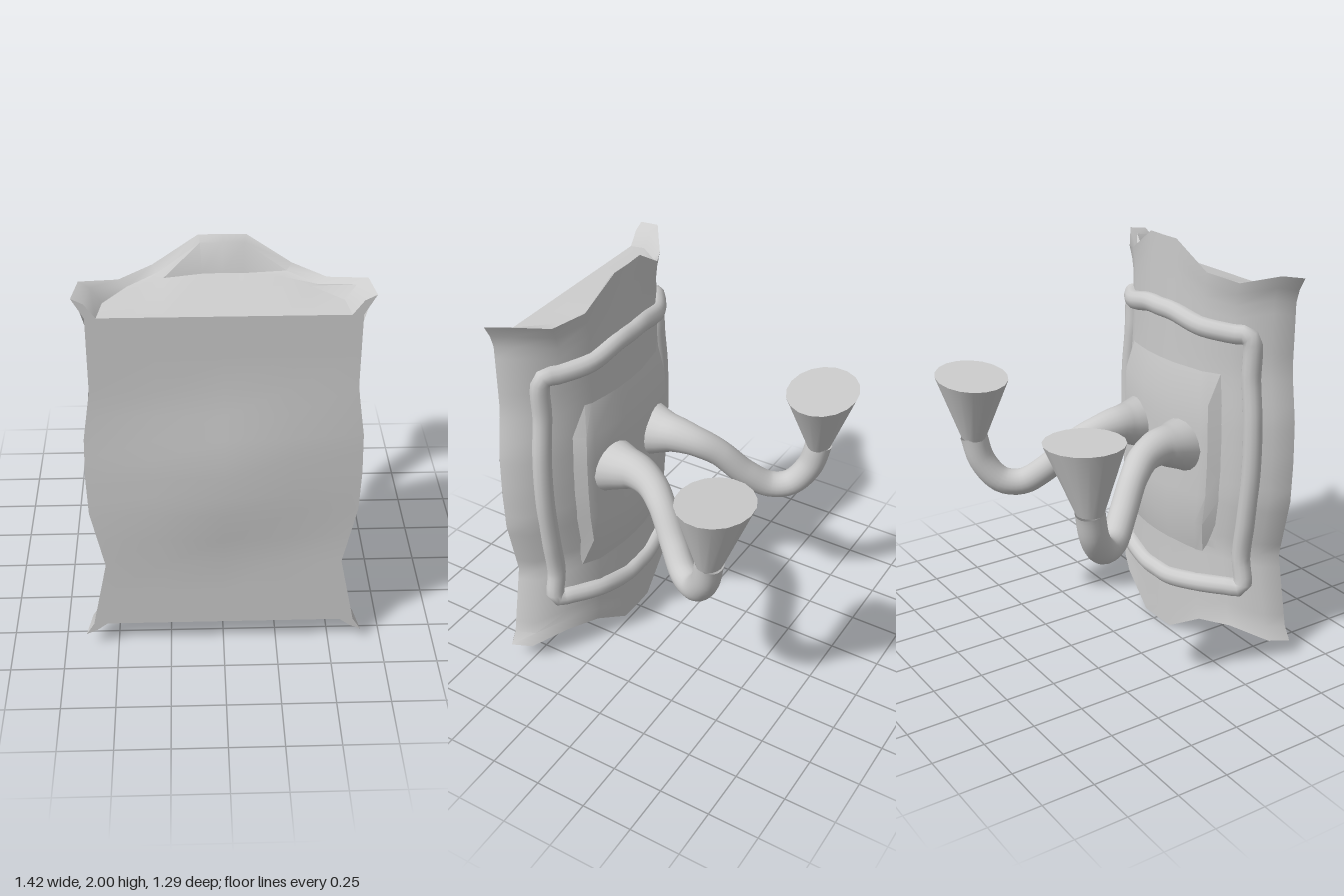
import * as THREE from 'three';
import { toCreasedNormals } from 'three/addons/utils/BufferGeometryUtils.js';

const V = (x, y, z) => new THREE.Vector3(x, y, z);
const material = new THREE.MeshStandardMaterial({ color: 0xcccccc, side: THREE.DoubleSide });

// Piecewise linear lookup in a list of [key, value] pairs
function lookup(keys, t) {
  if (t <= keys[0][0]) return keys[0][1];
  for (let i = 1; i < keys.length; i++) {
    const [a, va] = keys[i - 1], [b, vb] = keys[i];
    if (t <= b) return va + (vb - va) * (t - a) / (b - a);
  }
  return keys[keys.length - 1][1];
}

// Half of the curved plate, from centre to edge: x, z, bottom y, top y
const COLUMNS = [
  [0, 0.272, 0.005, 2.0], [0.1, 0.275, 0.005, 2.0], [0.29, 0.305, 0.13, 1.88],
  [0.43, 0.38, 0.14, 1.85], [0.585, 0.49, 0.1, 1.9], [0.61, 0.6, 0.08, 1.88],
];
const column = (u, k) => lookup(COLUMNS.map((c, i) => [i, c[k]]), Math.abs(u));

// Wavy half width of the side edge over the height
const WIDTHS = [[0.08, 0.65], [0.14, 0.612], [0.5, 0.54], [0.8, 0.6], [1, 0.606],
  [1.2, 0.6], [1.44, 0.565], [1.79, 0.565], [1.88, 0.615]];

// Point on the curved plate at column u and height fraction v
function plate(u, v, inset = 1) {
  const w = lookup(WIDTHS, 0.08 + 1.8 * v) / 0.61;
  const y = column(u, 2) + (column(u, 3) - column(u, 2)) * v;
  const z = column(u, 1);
  return V(Math.sign(u) * column(u, 0) * w * inset, y, 0.6 - (0.6 - z) * inset);
}

// Point at column u and height y, lifted outward from the plate
function onPlate(u, y, lift) {
  const p = plate(u, (y - column(u, 2)) / (column(u, 3) - column(u, 2)));
  const out = V(p.x, 0, p.z - 0.7).normalize();
  return p.addScaledVector(out, lift);
}

// Surface through rows of points
function surface(name, rows, crease = 0.6) {
  const n = rows[0].length, index = [];
  for (let j = 0; j < rows.length - 1; j++)
    for (let i = 0; i < n - 1; i++) {
      const a = j * n + i;
      index.push(a, a + 1, a + n + 1, a, a + n + 1, a + n);
    }
  const g = new THREE.BufferGeometry().setFromPoints(rows.flat());
  g.setIndex(index);
  return mesh(name, toCreasedNormals(g, crease));
}

function mesh(name, geometry) {
  const m = new THREE.Mesh(geometry, material);
  m.name = name;
  return m;
}

const US = Array.from({ length: 11 }, (_, i) => i - 5);

// Lip, inner wall and closing cap at the top or bottom of the plate
function endCap(name, top) {
  const v = top ? 1 : 0, s = top ? 1 : -1;
  const us = top ? [...US].reverse() : US;
  const frontY = top ? 1.79 : 0.145;
  const lip = u => plate(u, v);
  const inner = u => plate(u, v, 0.92).add(V(0, -0.025 * s, 0));
  const wall = u => {
    const p = plate(u, v, 0.81);
    p.x *= 1.04;
    p.y = frontY + s * 0.06 * (0.6 - p.z) / 0.265;
    return p;
  };
  const front = u => V(wall(u).x, frontY, 0.6);
  const group = new THREE.Group();
  group.name = name;
  group.add(surface('lip', [lip, inner, wall, front].map(f => us.map(f))));
  // Small end faces beside the front sheet
  for (const u of [-5, 5]) {
    const corner = V(Math.sign(u) * lookup(WIDTHS, frontY), frontY, 0.6);
    const rows = [[corner, wall(u)], [lip(u), inner(u)]];
    if ((u > 0) === top) rows.forEach(r => r.reverse());
    group.add(surface('lipEnd', rows));
  }
  return group;
}

// Arm with flared foot, and its cup; built on the +x side
function arm(side) {
  const group = new THREE.Group();
  group.name = side > 0 ? 'leftArm' : 'rightArm';
  const path = new THREE.CatmullRomCurve3([
    [0.175, 1.03, 0.285], [0.177, 1.035, 0.2], [0.18, 1.04, 0.13], [0.207, 1.015, 0.03],
    [0.26, 0.955, -0.06], [0.335, 0.83, -0.17], [0.41, 0.75, -0.27], [0.465, 0.76, -0.36],
    [0.515, 0.86, -0.435], [0.535, 1.0, -0.47],
  ].map(p => V(p[0] * side, p[1], p[2])));
  const steps = 40, sides = 20;
  const g = new THREE.TubeGeometry(path, steps, 1, sides);
  const radii = [[0, 0.14], [0.05, 0.118], [0.12, 0.092], [0.22, 0.074], [0.35, 0.065], [1, 0.066]];
  const pos = g.attributes.position, p = V(0, 0, 0);
  for (let i = 0; i <= steps; i++) {
    const c = path.getPointAt(i / steps), r = lookup(radii, i / steps);
    for (let j = 0; j <= sides; j++) {
      const k = i * (sides + 1) + j;
      p.fromBufferAttribute(pos, k).sub(c).multiplyScalar(r).add(c);
      pos.setXYZ(k, p.x, p.y, p.z);
    }
  }
  group.add(mesh('armTube', g));

  const base = V(0.535 * side, 0.99, -0.47), rim = V(0.51 * side, 1.31, -0.48);
  const axis = rim.clone().sub(base);
  const cup = mesh('cup', new THREE.CylinderGeometry(0.206, 0.07, axis.length(), 18));
  cup.scale.z = 0.82;
  cup.position.copy(base).addScaledVector(axis, 0.5);
  cup.quaternion.setFromUnitVectors(V(0, 1, 0), axis.normalize());
  group.add(cup);
  return group;
}

export function createModel() {
  const model = new THREE.Group();
  model.name = 'wallSconce';

  // Curved back plate
  const shellRows = [];
  for (let j = 0; j <= 30; j++) shellRows.push([...US].reverse().map(u => plate(u, j / 30)));
  model.add(surface('curvedPlate', shellRows, 0.9));

  // Front sheet, bulging at mid height
  const bulge = [[0.5, 0], [0.85, 1], [1.1, 1], [1.44, 0]];
  const sheetRows = [0.145, 0.32, 0.5, 0.65, 0.8, 0.9, 1, 1.1, 1.2, 1.32, 1.44, 1.6, 1.79].map(y =>
    [-1, -0.5, 0, 0.5, 1].map(t =>
      V(t * lookup(WIDTHS, y), y, 0.6 + 0.045 * lookup(bulge, y) * (1 - Math.abs(t)))));
  model.add(surface('frontSheet', sheetRows, 0.9));

  model.add(endCap('topCap', true), endCap('bottomCap', false));

  // Rolled frame draped over the plate
  const us = [-3.45, -3, -2, -1, 0, 1, 2, 3, 3.45];
  const wave = [[1, 0.05], [2, 0.015], [3, 0], [3.45, -0.01]];
  const path = [
    ...us.map(u => onPlate(u, 1.61 + lookup(wave, Math.abs(u)), 0)),
    ...[1.4, 1.2, 0.95, 0.7, 0.5].map(y => onPlate(3.5, y, 0)),
    ...us.reverse().map(u => onPlate(u, 0.34 - lookup(wave, Math.abs(u)), 0)),
    ...[0.5, 0.7, 0.95, 1.2, 1.4].map(y => onPlate(-3.5, y, 0)),
  ];
  const curve = new THREE.CatmullRomCurve3(path, true, 'centripetal');
  model.add(mesh('rolledFrame', new THREE.TubeGeometry(curve, 140, 0.046, 12, true)));

  // Raised centre panel with bevelled border
  const pu = [2.7, 2.25, 2, 1, 0, -1, -2, -2.25, -2.7];
  const py = [0.48, 0.65, 0.8, 0.95, 1.1, 1.26, 1.43];
  const panelRows = py.map((y, j) => pu.map((u, i) => {
    const border = i === 0 || i === pu.length - 1 || j === 0 || j === py.length - 1;
    return onPlate(u, y, border ? -0.004 : 0.033);
  }));
  model.add(surface('centrePanel', panelRows, 0.5));

  model.add(arm(1), arm(-1));
  return model;
}
